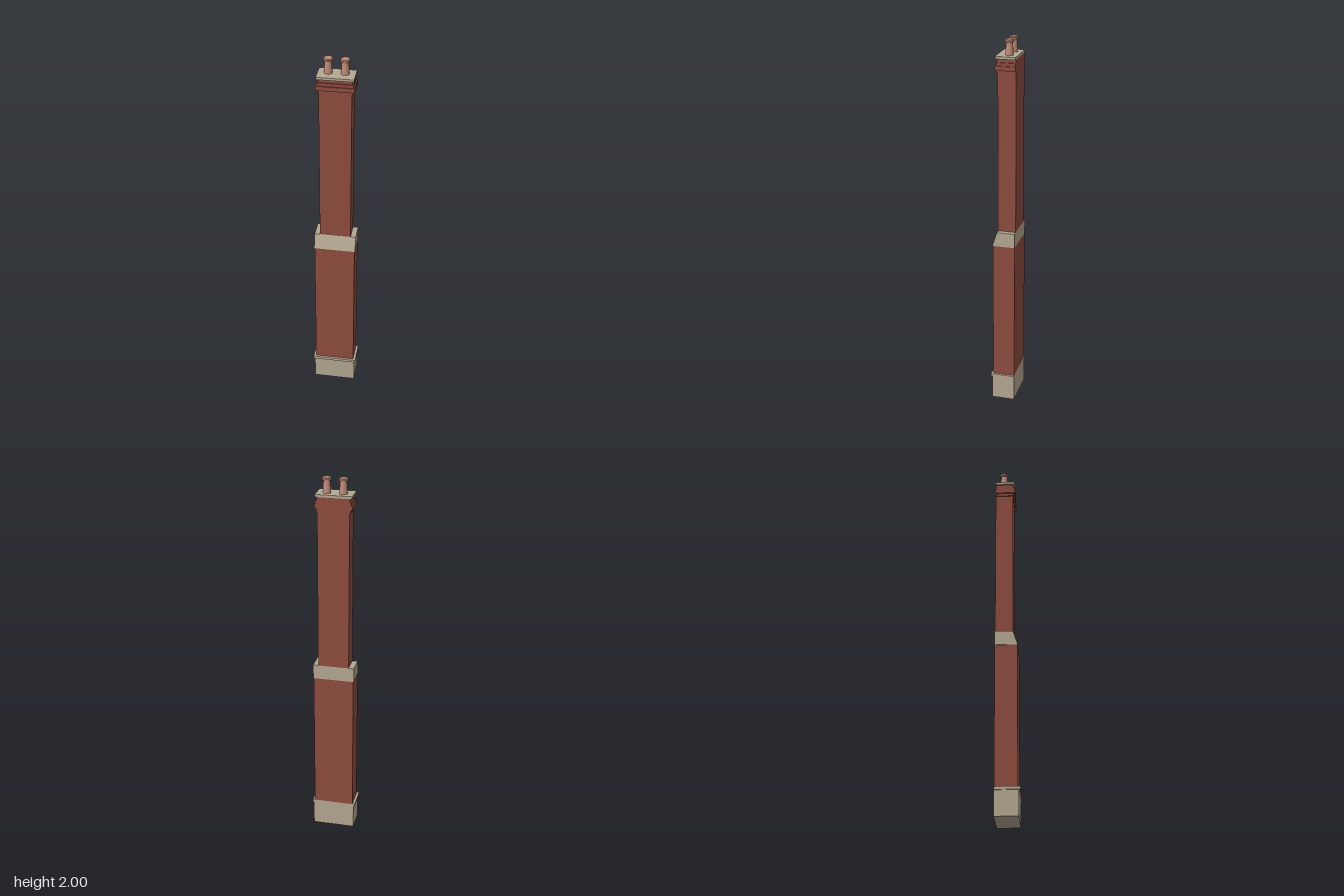
import * as THREE from 'three';

const BACK = -0.065; // every course is flush with this rear plane

export function createModel() {
  const model = new THREE.Group();
  model.name = 'chimney';

  const brick = new THREE.MeshStandardMaterial({ name: 'red brick', color: 0x8f4d40 });
  const stone = new THREE.MeshStandardMaterial({ name: 'pale stone', color: 0xb5a992 });
  const clay = new THREE.MeshStandardMaterial({ name: 'terracotta', color: 0xc08c76 });

  const add = (name, geometry, material, parent = model) => {
    const mesh = new THREE.Mesh(geometry, material);
    mesh.name = name;
    parent.add(mesh);
    return mesh;
  };

  // A box course from y0 to y1, flush at the back
  const course = (name, halfWidth, front, y0, y1, material, parent) => {
    const geometry = new THREE.BoxGeometry(halfWidth * 2, y1 - y0, front - BACK);
    geometry.translate(0, (y0 + y1) / 2, (front + BACK) / 2);
    return add(name, geometry, material, parent);
  };

  // Base and lower stack
  course('plinth', 0.113, 0.058, 0, 0.132, stone);
  course('plinthCap', 0.12, 0.065, 0.132, 0.148, stone);
  course('lowerShaft', 0.107, 0.053, 0.148, 0.912, brick);

  // Weathered shoulder: side profile extruded across the width
  const profile = new THREE.Shape([
    new THREE.Vector2(-BACK, 0.912),
    new THREE.Vector2(-BACK, 0.99),
    new THREE.Vector2(-0.03, 0.99),
    new THREE.Vector2(-0.055, 0.912),
  ]);
  const shoulder = new THREE.ExtrudeGeometry(profile, { depth: 0.22, bevelEnabled: false });
  shoulder.translate(0, 0, -0.11).rotateY(Math.PI / 2);
  add('shoulder', shoulder, stone);

  // Upper stack
  course('upperShaft', 0.082, 0.03, 0.99, 1.908, brick);

  // Corbelled brick courses under the slab: half width, front, bottom, top
  const corbel = new THREE.Group();
  corbel.name = 'corbel';
  model.add(corbel);
  [
    [0.088, 0.034, 1.835, 1.85],
    [0.097, 0.042, 1.85, 1.873],
    [0.091, 0.037, 1.873, 1.89],
    [0.084, 0.032, 1.89, 1.908],
  ].forEach(([w, f, y0, y1], i) => course(`corbelCourse${i + 1}`, w, f, y0, y1, brick, corbel));

  course('capSlab', 0.094, 0.041, 1.908, 1.921, stone);

  // Tapered pots with a projecting rim; repeated points keep edges crisp
  const potProfile = [
    [0.021, 1.921], [0.017, 1.984], [0.017, 1.984], [0.023, 1.986], [0.023, 1.986],
    [0.024, 1.995], [0.024, 1.995], [0.021, 2], [0.021, 2], [0, 2],
  ].map(([r, y]) => new THREE.Vector2(r, y));
  for (const side of [-1, 1]) {
    const pot = add(side > 0 ? 'leftPot' : 'rightPot', new THREE.LatheGeometry(potProfile, 32), clay);
    pot.position.set(side * 0.042, 0, -0.02);
  }

  return model;
}
